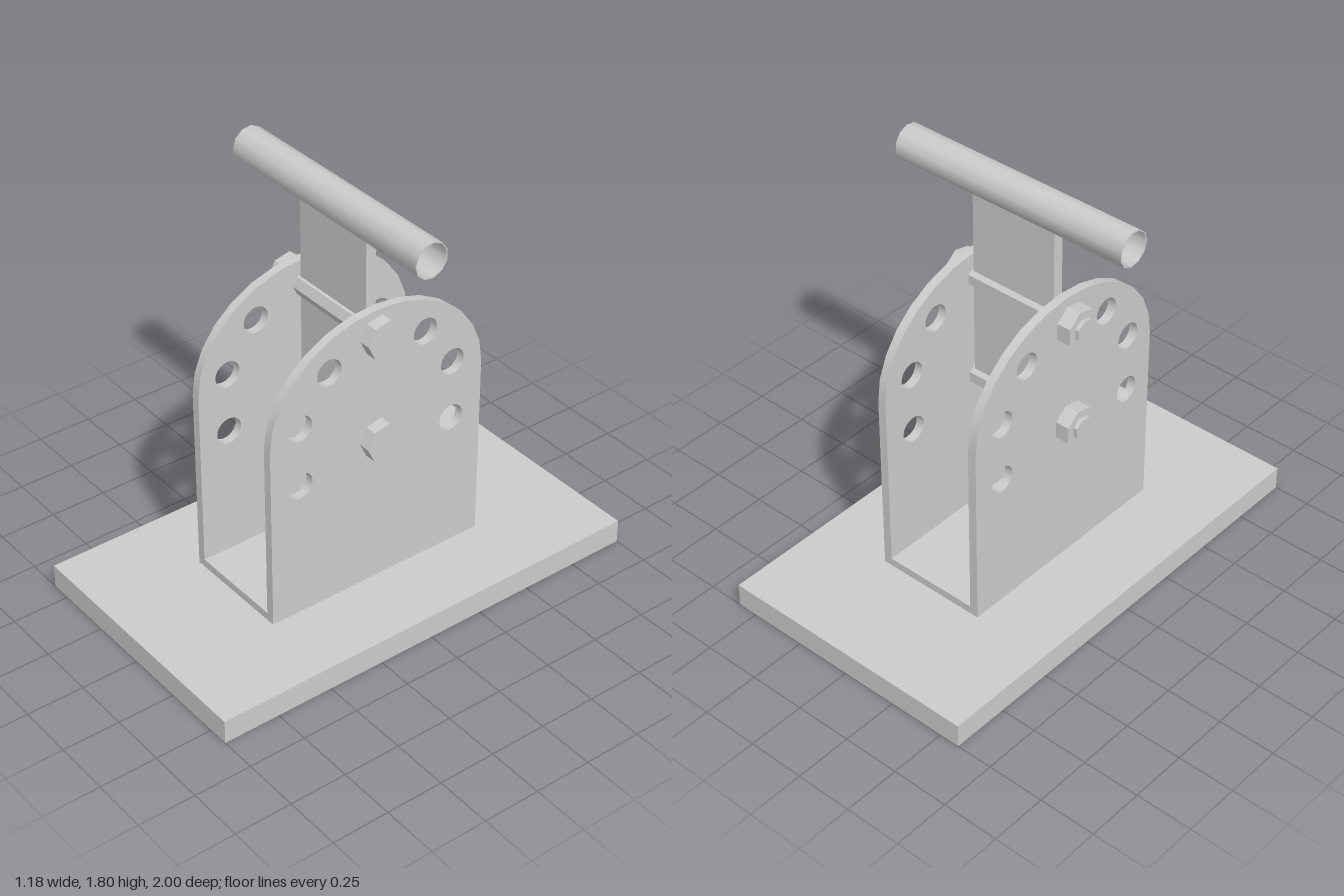
import * as THREE from 'three';
import { toCreasedNormals } from 'three/addons/utils/BufferGeometryUtils.js';

export function createModel() {
  const group = new THREE.Group();
  const smooth = new THREE.MeshStandardMaterial({ color: 0xcccccc });
  const flat = new THREE.MeshStandardMaterial({ color: 0xcccccc, flatShading: true });

  const add = (name, geometry, material = flat, parent = group) => {
    const mesh = new THREE.Mesh(geometry, material);
    mesh.name = name;
    parent.add(mesh);
    return mesh;
  };
  // box given by its min and max on each axis
  const box = (name, [x0, x1], [y0, y1], [z0, z1]) =>
    add(name, new THREE.BoxGeometry(x1 - x0, y1 - y0, z1 - z0))
      .position.set((x0 + x1) / 2, (y0 + y1) / 2, (z0 + z1) / 2);

  const midZ = 0.005;
  const baseTop = 0.105;

  // Base plate and floor of the U bracket
  box('basePlate', [-0.59, 0.59], [0, baseTop], [-1, 1]);
  box('bracketFloor', [-0.212, 0.212], [baseTop, 0.14], [midZ - 0.517, midZ + 0.517]);

  // Arched bracket walls with three adjustment holes on each side
  const halfWidth = 0.517, archY = 0.92, archH = 0.445, archSteps = 14;
  const outline = [new THREE.Vector2(-halfWidth, baseTop), new THREE.Vector2(halfWidth, baseTop)];
  for (let i = 0; i <= archSteps; i++) {
    const a = (i / archSteps) * Math.PI;
    outline.push(new THREE.Vector2(halfWidth * Math.cos(a), archY + archH * Math.sin(a)));
  }
  const wallShape = new THREE.Shape(outline);
  for (const [offset, y] of [[0.232, 1.175], [0.372, 0.98], [0.372, 0.715]]) {
    for (const side of [-1, 1]) {
      const hole = new THREE.Path();
      hole.absarc(side * offset - 0.005, y, 0.058, 0, Math.PI * 2, true);
      wallShape.holes.push(hole);
    }
  }
  const thickness = 0.038;
  const wallGeometry = toCreasedNormals(
    new THREE.ExtrudeGeometry(wallShape, { depth: thickness, bevelEnabled: false, curveSegments: 10 })
      .rotateY(Math.PI / 2), 0.7);
  add('leftWall', wallGeometry, smooth).position.set(0.25 - thickness, 0, midZ);
  add('rightWall', wallGeometry, smooth).position.set(-0.25, 0, midZ);

  // Cross bolts: shaft, head on the left, nut on the right
  const rod = (name, radius, x0, x1, parent) => {
    const geometry = new THREE.CylinderGeometry(radius, radius, x1 - x0, 7).rotateZ(-Math.PI / 2);
    add(name, geometry, flat, parent).position.x = (x0 + x1) / 2;
  };
  for (const [name, y] of [['upperBolt', 1.255], ['lowerBolt', 0.785]]) {
    const bolt = new THREE.Group();
    bolt.name = name;
    bolt.position.set(0, y, 0.012);
    rod('shaft', 0.05, -0.342, 0.26, bolt);
    rod('head', 0.085, 0.252, 0.304, bolt);
    rod('nut', 0.085, -0.325, -0.263, bolt);
    group.add(bolt);
  }

  // Upright plate held by the bolts
  box('uprightPlate', [-0.202, 0.202], [0.75, 1.67], [-0.015, 0.032]);

  // Hollow thin-walled crossbar
  const outer = 0.076, inner = 0.071, half = 0.552;
  const profile = [[inner, -half], [outer, -half], [outer, half], [inner, half], [inner, -half]]
    .map(([r, y]) => new THREE.Vector2(r, y));
  const tube = toCreasedNormals(
    new THREE.LatheGeometry(profile, 11).rotateZ(-Math.PI / 2), 0.7);
  add('crossbar', tube, smooth).position.set(0, 1.722, 0.012);

  return group;
}
